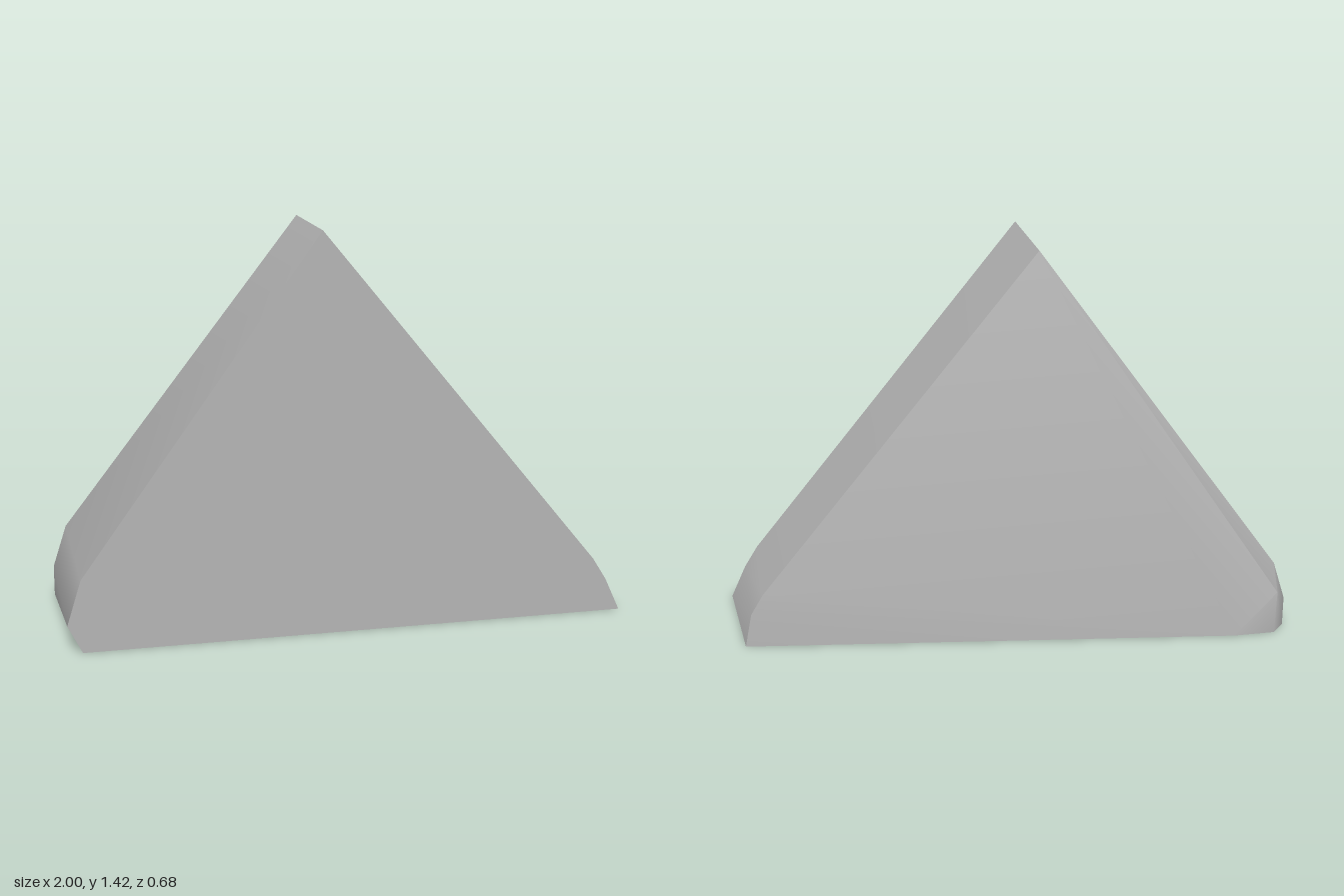
import * as THREE from 'three';
import { ConvexGeometry } from 'three/addons/geometries/ConvexGeometry.js';
import { toCreasedNormals } from 'three/addons/utils/BufferGeometryUtils.js';

export function createModel() {
  const group = new THREE.Group();
  group.name = 'wedge';
  const stone = new THREE.MeshStandardMaterial({ color: 0xb4b4b4 });
  stone.name = 'plain grey';

  // upright front outline, in the plane z = 0.34
  const front = [[-0.95, 0], [-1, 0.1], [-0.95, 0.26], [-0.11, 1.42],
    [0.89, 0.2], [0.94, 0.12], [0.995, 0]].map(([x, y]) => [x, y, 0.34]);

  // right edge of the slanting back, in the plane z = -0.09
  const backRight = [[-0.11, 1.42], [0.895, 0.2], [0.94, 0.125], [0.965, 0]]
    .map(([x, y]) => [x, y, -0.09]);

  // thick back corner with its small chamfer
  const backLeft = [[-0.8, 0, -0.34], [-0.95, 0, -0.34], [-0.955, 0.16, -0.338],
    [-1, 0, -0.285], [-1, 0.11, -0.285], [-0.95, 0.26, -0.295]];

  const points = [...front, ...backRight, ...backLeft].map((p) => new THREE.Vector3(...p));
  const body = new THREE.Mesh(toCreasedNormals(new ConvexGeometry(points), 0.85), stone);
  body.name = 'wedgeBody';
  group.add(body);
  return group;
}
